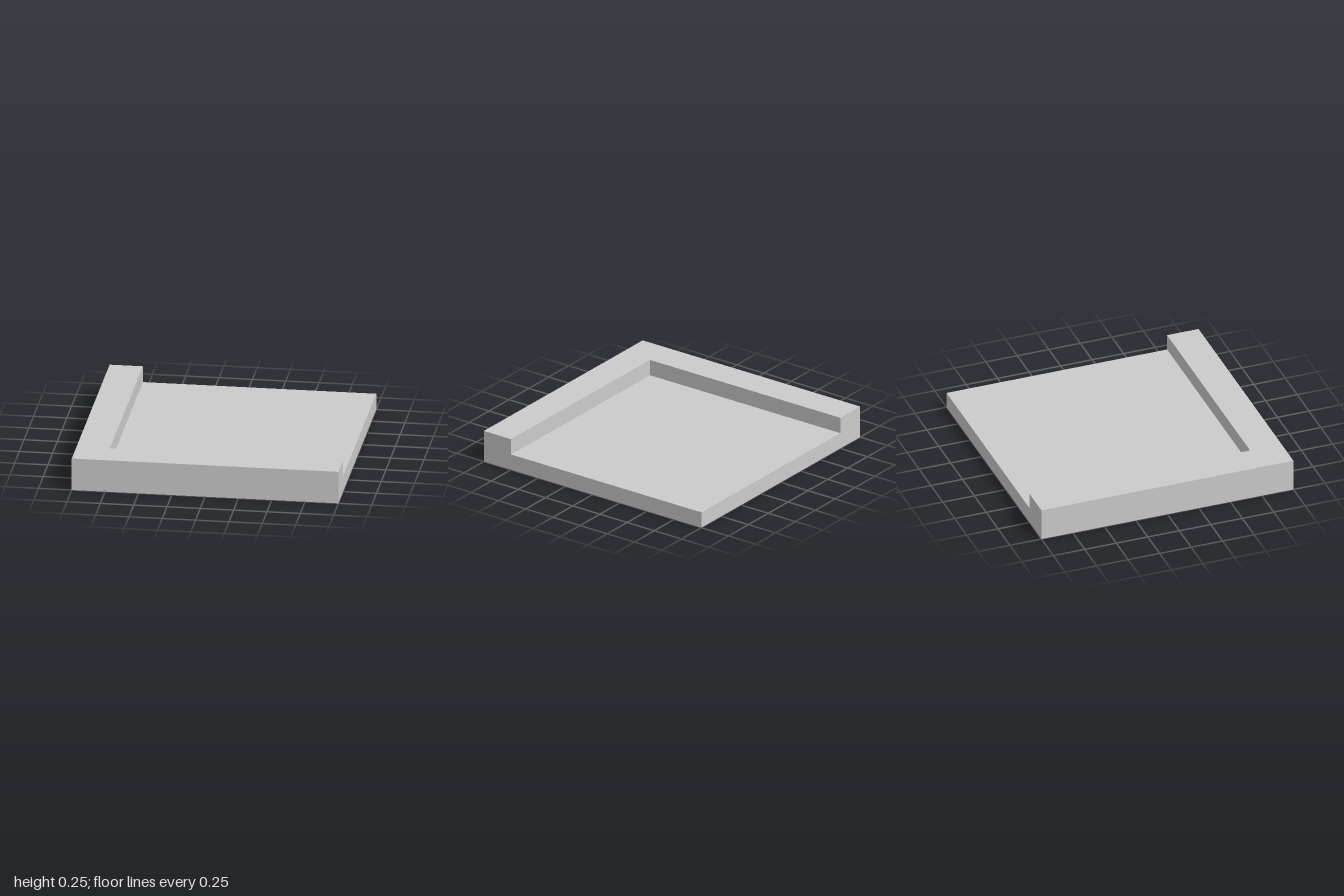
import * as THREE from 'three';

const HALF = 1;        // half the width of the square slab
const INNER = 0.75;    // inner edge of the raised rim
const RIM_HEIGHT = 0.25;
const FLOOR_HEIGHT = 0.125;

// Extrudes a plan outline of [x, z] points upward from the ground
function extrudePlan(name, plan, height, material) {
  const shape = new THREE.Shape(plan.map(([x, z]) => new THREE.Vector2(x, -z)));
  const geometry = new THREE.ExtrudeGeometry(shape, { depth: height, bevelEnabled: false });
  geometry.rotateX(-Math.PI / 2);
  const mesh = new THREE.Mesh(geometry, material);
  mesh.name = name;
  return mesh;
}

export function createModel() {
  const group = new THREE.Group();
  group.name = 'cornerTile';
  const material = new THREE.MeshStandardMaterial({ color: 0xcccccc, flatShading: true });

  // L-shaped rim along the front and the right side
  group.add(extrudePlan('cornerRim', [
    [-HALF, HALF], [HALF, HALF], [HALF, INNER],
    [-INNER, INNER], [-INNER, -HALF], [-HALF, -HALF],
  ], RIM_HEIGHT, material));

  // Lower floor filling the inside of the corner
  group.add(extrudePlan('floor', [
    [-INNER, INNER], [HALF, INNER], [HALF, -HALF], [-INNER, -HALF],
  ], FLOOR_HEIGHT, material));

  return group;
}
